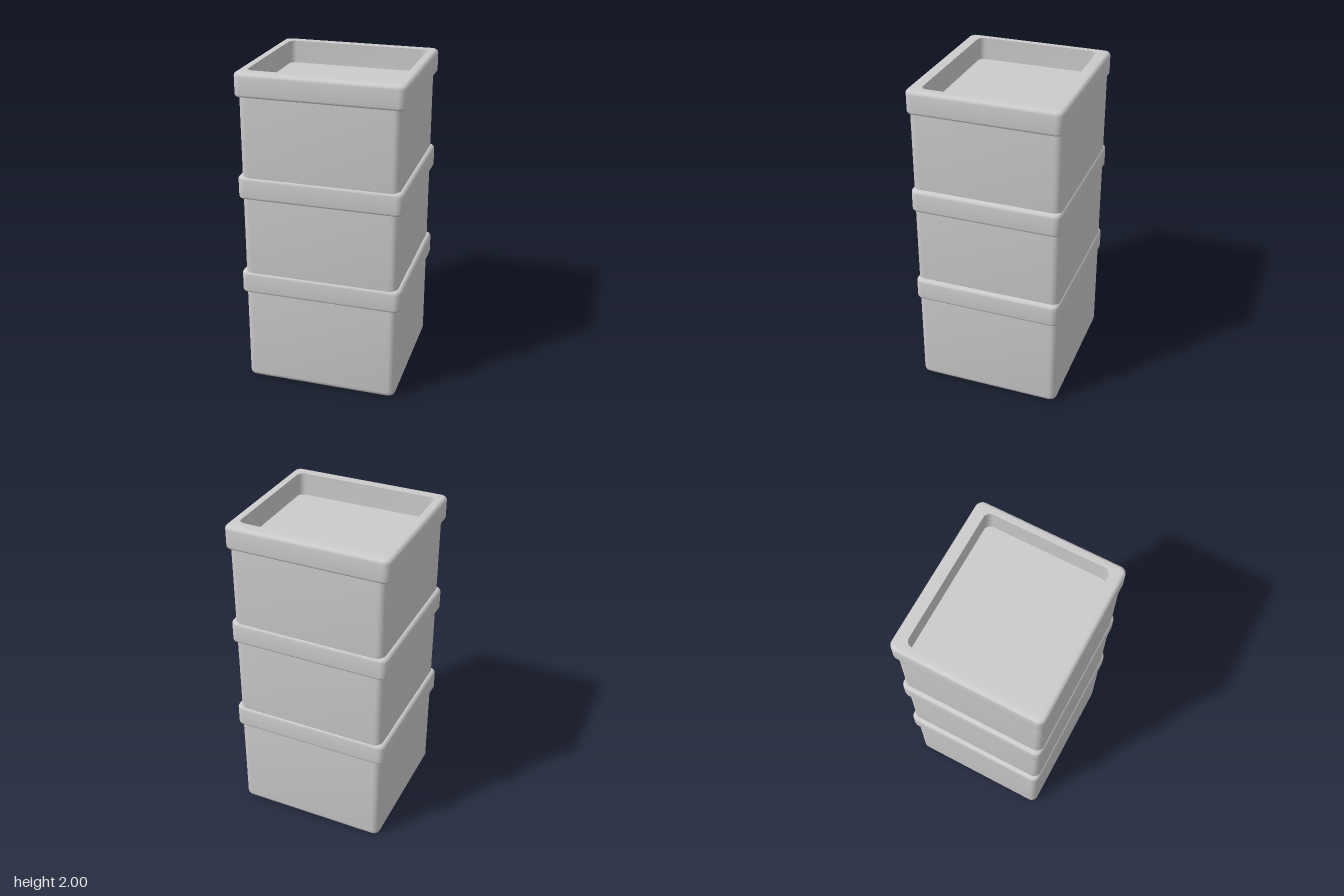
import * as THREE from 'three';
import { toCreasedNormals } from 'three/addons/utils/BufferGeometryUtils.js';

const CORNER_STEPS = 6;

// Closed loop of points around a rounded rectangle at height y
function roundedLoop(hx, hz, r, y) {
  const pts = [];
  for (let q = 0; q < 4; q++) {
    const sx = q === 0 || q === 3 ? 1 : -1;
    const sz = q < 2 ? 1 : -1;
    for (let i = 0; i <= CORNER_STEPS; i++) {
      const a = (q + i / CORNER_STEPS) * Math.PI / 2;
      pts.push([sx * (hx - r) + r * Math.cos(a), y, sz * (hz - r) + r * Math.sin(a)]);
    }
  }
  return pts;
}

// Skin a stack of [halfX, halfZ, cornerRadius, y] sections, listed bottom to top on the outside
function loft(sections) {
  const n = 4 * (CORNER_STEPS + 1);
  const positions = sections.flatMap((s) => roundedLoop(...s)).flat();
  const index = [];
  for (let j = 0; j < sections.length - 1; j++) {
    for (let i = 0; i < n; i++) {
      const a = j * n + i, b = j * n + (i + 1) % n;
      index.push(a, a + n, b, b, a + n, b + n);
    }
  }
  const geo = new THREE.BufferGeometry();
  geo.setAttribute('position', new THREE.Float32BufferAttribute(positions, 3));
  geo.setIndex(index);
  return toCreasedNormals(geo, 0.6);
}

// Quarter-round edge: sections of a hx by hz block, bevel b, at its bottom (y up) or top
function bevel(hx, hz, r, y, b, top) {
  const out = [];
  for (let i = 0; i <= 5; i++) {
    const a = (top ? i : 5 - i) / 5 * Math.PI / 2;
    const inset = b * (1 - Math.cos(a));
    const rise = b * (1 - Math.sin(a));
    out.push([hx - inset, hz - inset, Math.max(r - inset, 0.004), top ? y - rise : y + rise]);
  }
  return out;
}

export function createModel() {
  const model = new THREE.Group();
  const material = new THREE.MeshStandardMaterial({ color: 0xcccccc, side: THREE.DoubleSide });
  const height = 0.752, rimBottom = 0.607, floorY = 0.612, spacing = 0.624;

  // Thin wall, open underneath, with a rounded lower edge
  const wallGeo = loft([
    ...bevel(0.479, 0.454, 0.045, 0, 0.037, false),
    [0.479, 0.454, 0.045, rimBottom + 0.02],
  ]);

  // Overhanging rim, rounded outside and square around the recess
  const rimGeo = loft([
    [0.47, 0.443, 0.035, rimBottom],
    ...bevel(0.504, 0.462, 0.045, rimBottom, 0.018, false),
    ...bevel(0.504, 0.462, 0.045, height, 0.024, true),
    [0.447, 0.383, 0.04, height],
    [0.447, 0.383, 0.04, floorY],
  ]);

  // Flat panel at the bottom of the recess
  const floorGeo = loft([
    [0.475, 0.45, 0.04, floorY],
    [0.001, 0.001, 0.0005, floorY],
  ]);

  // Three identical bins, each set into the one below
  for (let i = 0; i < 3; i++) {
    const bin = new THREE.Group();
    bin.name = `bin${i + 1}`;
    bin.position.y = i * spacing;
    for (const [name, geo] of [['wall', wallGeo], ['rim', rimGeo], ['recessFloor', floorGeo]]) {
      const mesh = new THREE.Mesh(geo, material);
      mesh.name = name;
      bin.add(mesh);
    }
    model.add(bin);
  }
  return model;
}
